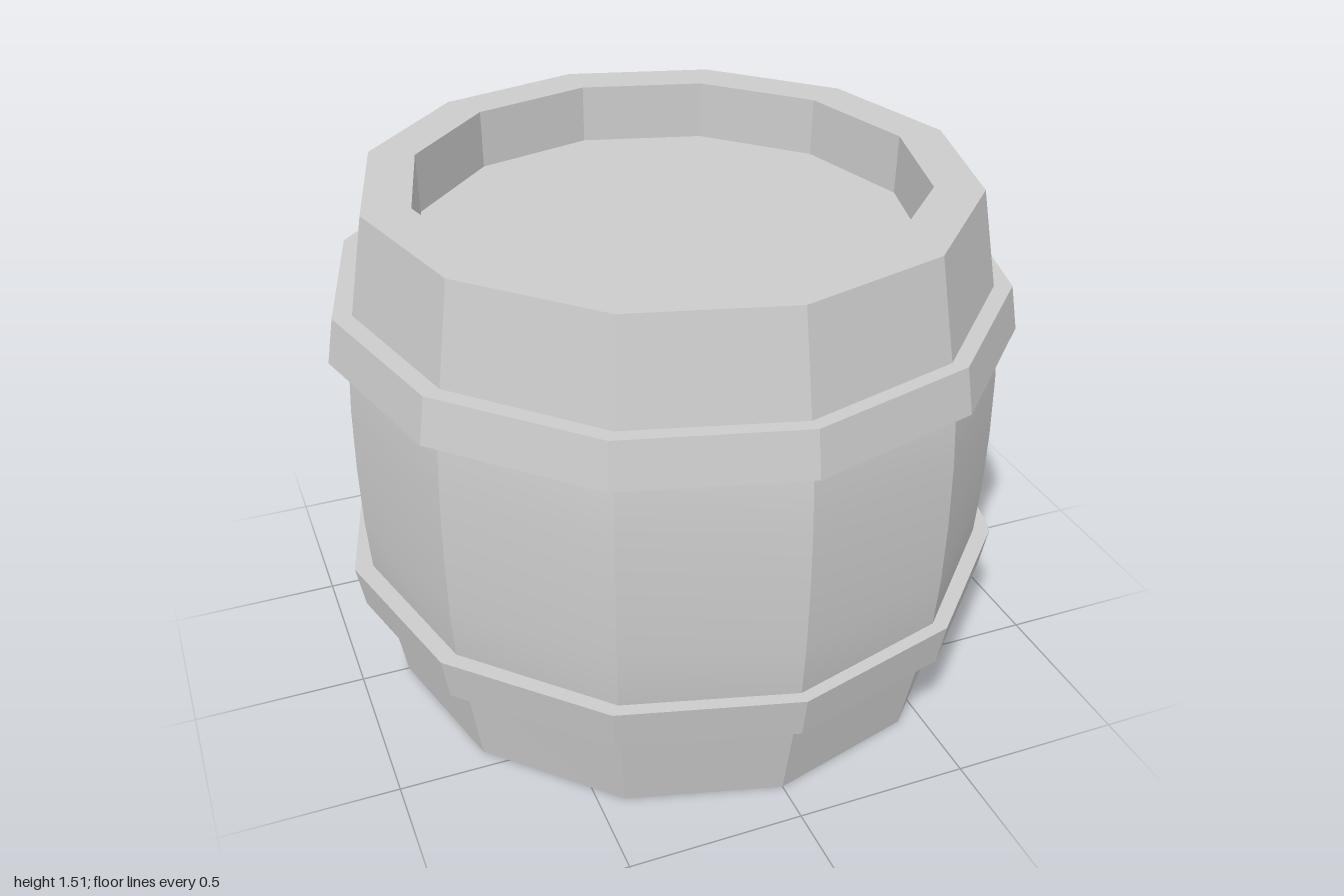
import * as THREE from 'three';
import { toCreasedNormals } from 'three/addons/utils/BufferGeometryUtils.js';

const SIDES = 12, HEIGHT = 1.51, MID = HEIGHT / 2;

// Twelve-sided turned part; widthAt(y) narrows it slightly along x
function turned(name, profile, widthAt) {
  const points = profile.map(([r, y]) => new THREE.Vector2(r, y));
  const geo = new THREE.LatheGeometry(points, SIDES);
  const pos = geo.attributes.position;
  for (let i = 0; i < pos.count; i++) pos.setX(i, pos.getX(i) * widthAt(pos.getY(i)));
  const mesh = new THREE.Mesh(
    toCreasedNormals(geo, 0.35),
    new THREE.MeshStandardMaterial({ color: 0xcccccc })
  );
  mesh.name = name;
  return mesh;
}

export function createModel() {
  const barrel = new THREE.Group();
  barrel.name = 'barrel';

  // Bulging staves with both heads recessed inside the rims
  const lower = [
    [0, 0.175], [0.74, 0.175], [0.74, 0], [0.88, 0],
    [0.937, 0.28], [0.963, 0.41], [0.975, 0.57],
  ];
  const upper = lower.map(([r, y]) => [r, HEIGHT - y]).reverse();
  const bodyWidth = (y) => 0.963 + 0.012 * ((y - MID) / MID) ** 2;
  barrel.add(turned('body', [...lower, [0.979, MID], ...upper], bodyWidth));

  // Two hoops, each wider on the edge nearest the middle
  const hoop = [[0.9, 0.28], [0.977, 0.28], [1, 0.41], [0.9, 0.41]];
  const mirrored = hoop.map(([r, y]) => [r, HEIGHT - y]).reverse();
  const hoopWidth = () => 0.984;
  barrel.add(turned('lowerHoop', hoop, hoopWidth));
  barrel.add(turned('upperHoop', mirrored, hoopWidth));

  return barrel;
}
